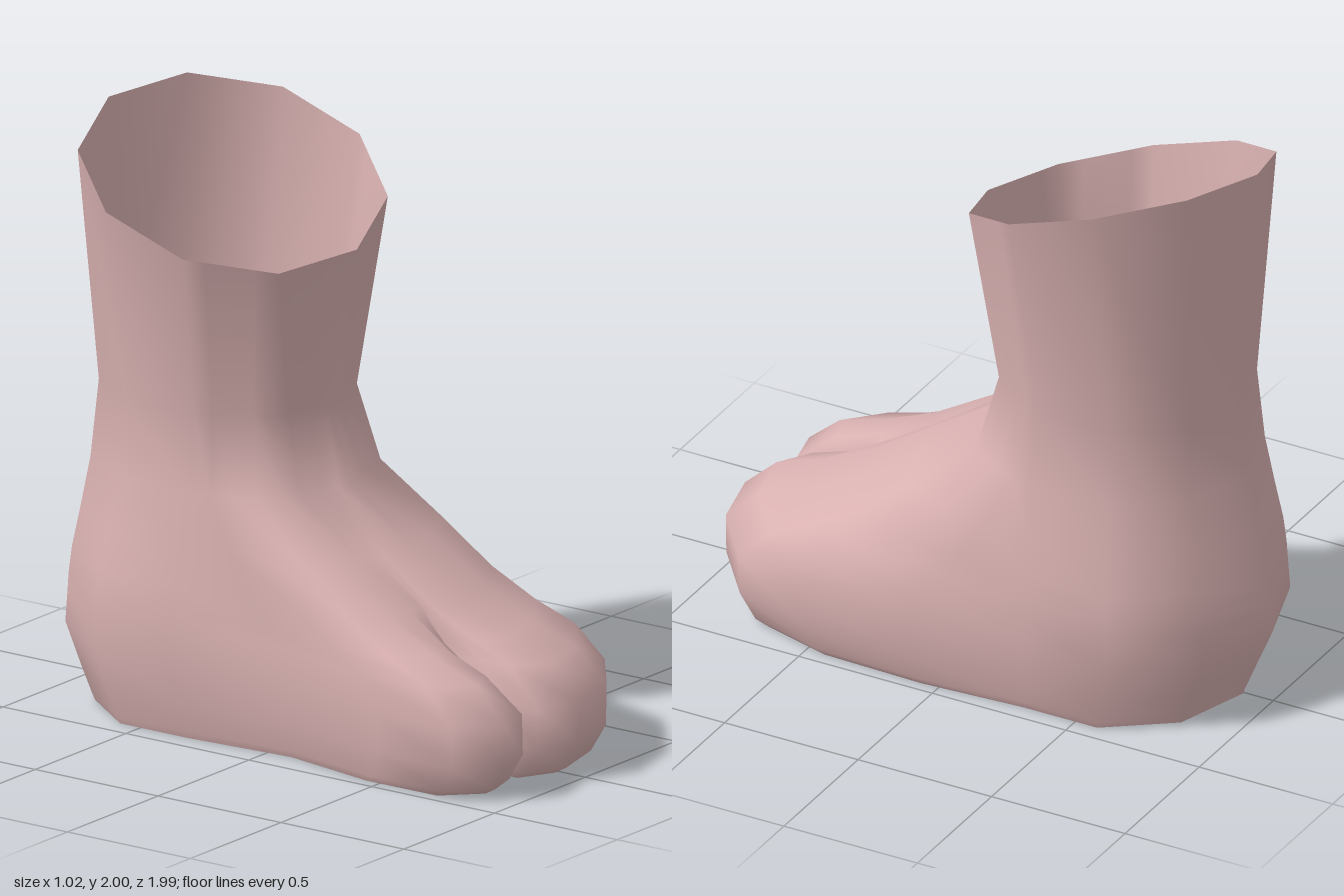
import * as THREE from 'three';

// Outline points: angle round the leg (0 = front), then footprint x, z where the foot departs from the leg,
// and which side of the toe split the point lies on (-1, 0, 1)
const outline = [
  [-180], [-144], [-108], [-72],
  [-64, -0.43, 0.13], [-54, -0.51, 0.52], [-45, -0.51, 0.83], [-36, -0.38, 0.95],
  [-28, -0.24, 0.92, -1], [-20, -0.19, 0.78, -1], [-14, -0.177, 0.63, 0], [-10, -0.165, 0.78, 1], [-5, -0.17, 0.93, 1],
  [0, -0.02, 0.99], [18, 0.2, 0.94], [36, 0.42, 0.77], [54, 0.5, 0.5], [63, 0.51, 0.1],
  [72], [108], [144],
];

// Levels: height, leg half-width, back z, leg front z, foot reach, split depth, split widening, foot width
const levels = [
  [0.0, 0.45, -0.89, 0, 0.9, 1, 0.01, 0.91],
  [0.025, 0.46, -0.9, 0, 0.945, 1, 0.005, 0.94],
  [0.12, 0.48, -0.94, 0, 1, 1, 0, 0.98],
  [0.26, 0.5, -1, 0, 1, 1, 0, 1],
  [0.37, 0.5, -0.99, 0, 0.88, 0.9, 0.025, 0.96],
  [0.43, 0.5, -0.985, 0, 0.71, 0.5, 0.03, 0.94],
  [0.52, 0.49, -0.975, 0, 0.52, 0.1, 0, 0.92],
  [0.66, 0.46, -0.95, 0, 0.3, 0, 0, 0.95],
  [0.83, 0.43, -0.92, 0, 0.05, 0, 0, 1],
  [1.09, 0.39, -0.9, -0.02, 0, 0, 0, 1],
  [null, 0.513, -0.945, 0.065, 0, 0, 0, 1],
];

const lerp = THREE.MathUtils.lerp;

function ring([y, w, back, front, reach, split, widen, wide]) {
  return outline.map(([deg, fx, fz, side]) => {
    // ten-sided leg section
    const a = THREE.MathUtils.degToRad(deg);
    const m = THREE.MathUtils.degToRad((((deg % 36) + 36) % 36) - 18);
    const r = Math.cos(Math.PI / 10) / Math.cos(m);
    let x = 0.008 + Math.sin(a) * r * w;
    let z = (front + back) / 2 + Math.cos(a) * r * (front - back) / 2;
    if (fx !== undefined) {
      // push the front of the section out into the foot
      let tx = fx * wide, tz = fz;
      if (side !== undefined) {
        tz = lerp(0.94, fz, split) - widen;
        tx += side * widen;
      }
      x = lerp(x, tx, Math.pow(reach, 0.6));
      z = lerp(z, tz, reach);
    }
    // slanted opening at the top
    return new THREE.Vector3(x, y ?? 1.805 + 0.195 * x - 0.337 * (z + 0.445), z);
  });
}

function geometryFrom(points, index) {
  const g = new THREE.BufferGeometry().setFromPoints(points);
  g.setIndex(index);
  g.computeVertexNormals();
  return g;
}

export function createModel() {
  const group = new THREE.Group();
  group.name = 'splitToeSock';
  const material = new THREE.MeshStandardMaterial({ color: 0xd8b0b0, side: THREE.DoubleSide });
  const rings = levels.map(ring);
  const n = outline.length;

  // Leg, heel, instep and toes as one skin
  const index = [];
  for (let j = 0; j < rings.length - 1; j++) {
    for (let i = 0; i < n; i++) {
      const a = j * n + i, b = j * n + (i + 1) % n;
      index.push(a, b, a + n, b, b + n, a + n);
    }
  }
  const upper = new THREE.Mesh(geometryFrom(rings.flat(), index), material);
  upper.name = 'footAndLeg';

  // Flat sole, facing down
  const flat = rings[0].map((p) => new THREE.Vector2(p.x, p.z));
  const soleIndex = [];
  for (const [a, b, c] of THREE.ShapeUtils.triangulateShape(flat, [])) {
    const p = flat[a], q = flat[b], s = flat[c];
    const area = (q.x - p.x) * (s.y - p.y) - (q.y - p.y) * (s.x - p.x);
    soleIndex.push(...(area > 0 ? [a, b, c] : [a, c, b]));
  }
  const sole = new THREE.Mesh(geometryFrom(rings[0], soleIndex), material);
  sole.name = 'sole';

  group.add(upper, sole);
  return group;
}
